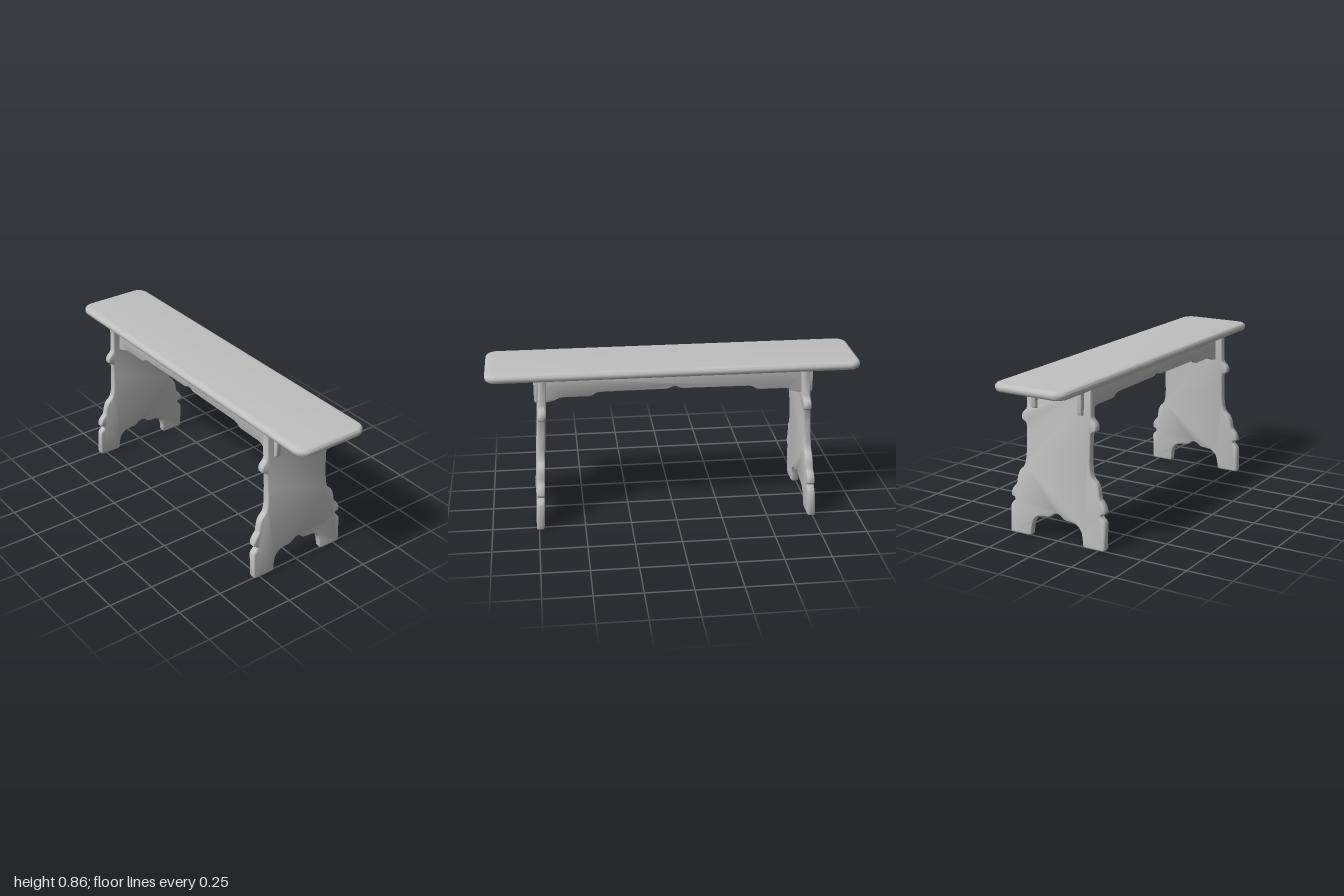
import * as THREE from 'three';
import { toCreasedNormals } from 'three/addons/utils/BufferGeometryUtils.js';

const wood = new THREE.MeshStandardMaterial({ color: 0xc0c0c0 });
wood.name = 'pale grey';

// Closed outline, symmetric about its vertical axis, from one half listed top to bottom.
function mirroredShape(half) {
  const left = half.filter(([x]) => x > 0).reverse().map(([x, y]) => [-x, y]);
  return new THREE.Shape([...half, ...left].map(([x, y]) => new THREE.Vector2(x, y)));
}

// Board of a given total thickness with rounded edges, centred on z = 0.
function board(shape, thickness, round) {
  const geometry = new THREE.ExtrudeGeometry(shape, {
    depth: thickness - 2 * round,
    bevelEnabled: true,
    bevelThickness: round,
    bevelSize: round,
    bevelOffset: -round,
    bevelSegments: 4,
    curveSegments: 10,
  });
  return geometry.translate(0, 0, -thickness / 2 + round);
}

function addMesh(group, name, geometry) {
  const mesh = new THREE.Mesh(toCreasedNormals(geometry, 0.7), wood);
  mesh.name = name;
  group.add(mesh);
  return mesh;
}

// Half width and height along the scalloped leg outline, ending at the foot arch.
const legHalf = [
  [0.193, 0.83], [0.193, 0.685], [0.199, 0.67], [0.214, 0.657], [0.223, 0.643],
  [0.226, 0.629], [0.223, 0.614], [0.211, 0.606], [0.199, 0.6], [0.194, 0.585],
  [0.192, 0.52], [0.193, 0.45], [0.197, 0.405], [0.204, 0.378], [0.213, 0.364],
  [0.228, 0.352], [0.239, 0.335], [0.247, 0.312], [0.251, 0.288], [0.254, 0.268],
  [0.266, 0.256], [0.278, 0.24], [0.286, 0.222], [0.287, 0.204], [0.281, 0.197],
  [0.267, 0.192], [0.263, 0.183], [0.268, 0.174], [0.281, 0.163], [0.289, 0.148],
  [0.289, 0.016], [0.285, 0.006], [0.276, 0.002], [0.172, 0.002], [0.162, 0.006],
  [0.158, 0.016], [0.155, 0.05], [0.148, 0.079], [0.134, 0.1], [0.114, 0.114],
  [0.09, 0.119], [0.055, 0.121], [0.04, 0.126], [0.022, 0.141], [0.01, 0.147], [0, 0.148],
];

// Half length and height along the apron rail, ending at the centre notch.
const railHalf = [
  [0.747, 0.83], [0.747, 0.7], [0.742, 0.688], [0.732, 0.684], [0.7, 0.684],
  [0.665, 0.688], [0.64, 0.695], [0.615, 0.707], [0.595, 0.711], [0.455, 0.711],
  [0.435, 0.717], [0.42, 0.728], [0.4, 0.733], [0.04, 0.735], [0.025, 0.739],
  [0.012, 0.746], [0, 0.749],
];

// Rectangle with rounded corners for the seat plan.
function seatShape(w, d, r) {
  const s = new THREE.Shape();
  s.moveTo(-w + r, -d);
  s.lineTo(w - r, -d);
  s.absarc(w - r, -d + r, r, -Math.PI / 2, 0);
  s.lineTo(w, d - r);
  s.absarc(w - r, d - r, r, 0, Math.PI / 2);
  s.lineTo(-w + r, d);
  s.absarc(-w + r, d - r, r, Math.PI / 2, Math.PI);
  s.lineTo(-w, -d + r);
  s.absarc(-w + r, -d + r, r, Math.PI, Math.PI * 1.5);
  return s;
}

export function createModel() {
  const bench = new THREE.Group();
  bench.name = 'bench';

  // Long seat plank
  const seat = board(seatShape(1, 0.211, 0.065), 0.044, 0.02).rotateX(-Math.PI / 2);
  addMesh(bench, 'seat', seat.translate(0, 0.841, 0));

  // Leg boards, splayed outward toward the floor
  for (const side of [1, -1]) {
    const leg = board(mirroredShape(legHalf), 0.042, 0.01).rotateY(Math.PI / 2);
    const p = leg.attributes.position;
    for (let i = 0; i < p.count; i++) {
      p.setX(i, p.getX(i) + side * (0.743 - 0.052 * p.getY(i)));
    }
    addMesh(bench, side > 0 ? 'leftLeg' : 'rightLeg', leg);
  }

  // Apron rails whose ends pass through the legs
  for (const side of [1, -1]) {
    const rail = board(mirroredShape(railHalf), 0.03, 0.007).translate(0, 0, side * 0.138);
    addMesh(bench, side > 0 ? 'frontRail' : 'backRail', rail);
  }
  return bench;
}
